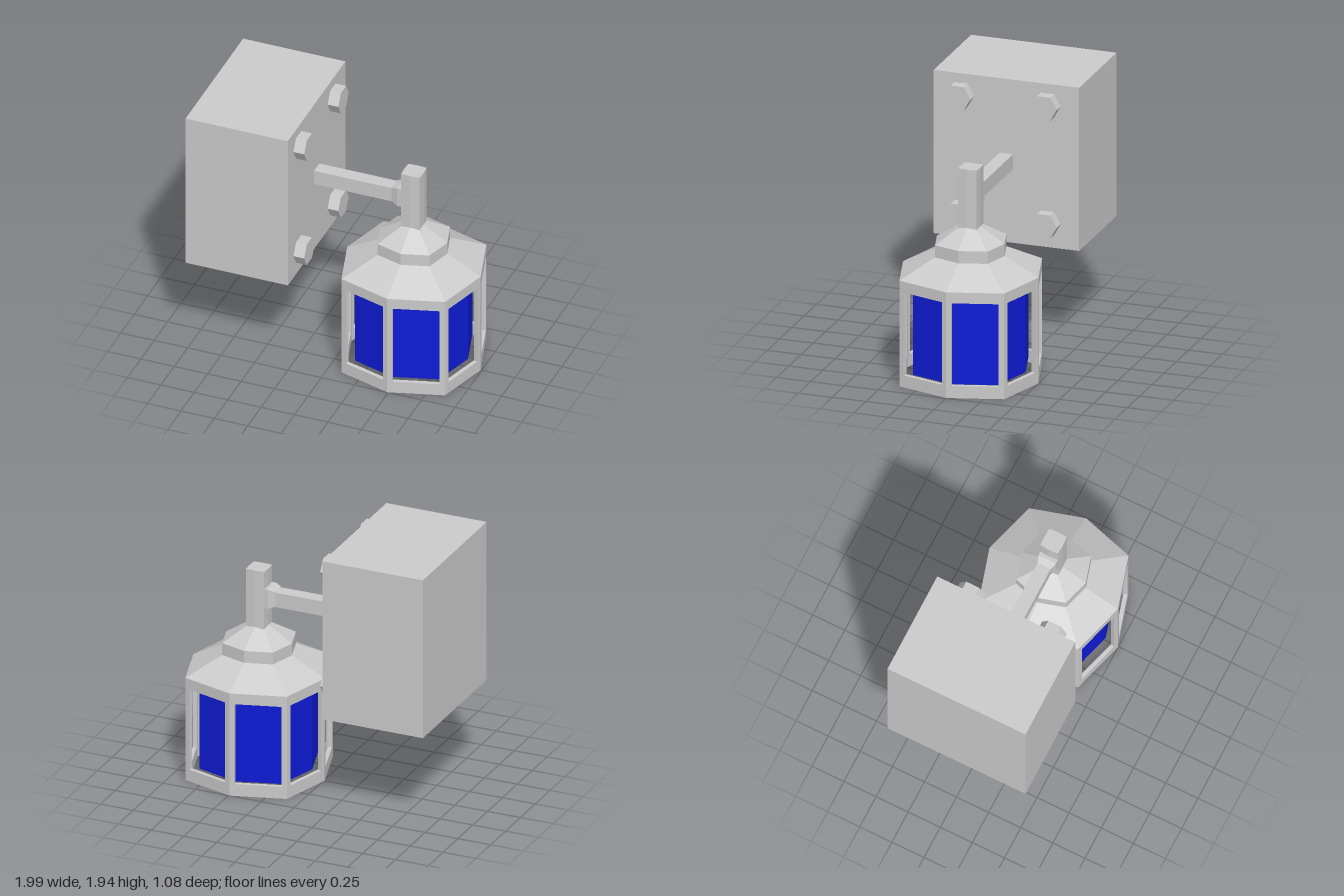
import * as THREE from 'three';

const CX = 0.493;      // lantern axis
const DIAGONAL = 1.095; // diagonal corners stand slightly further out

const mat = (color, flatShading = true) => new THREE.MeshStandardMaterial({ color, flatShading });

function add(parent, name, geometry, material) {
  const mesh = new THREE.Mesh(geometry, material);
  mesh.name = name;
  parent.add(mesh);
  return mesh;
}

// Eight-sided lathe whose diagonal corners are pushed outward
function octagonLathe(profile, diagonal = DIAGONAL) {
  const g = new THREE.LatheGeometry(profile.map(([r, y]) => new THREE.Vector2(r, y)), 8);
  const p = g.attributes.position;
  for (let i = 0; i < p.count; i++) {
    const x = p.getX(i), z = p.getZ(i);
    if (Math.min(Math.abs(x), Math.abs(z)) > 1e-4) p.setXYZ(i, x * diagonal, p.getY(i), z * diagonal);
  }
  return g;
}

// Corner of the lantern octagon
function corner(i) {
  const a = (i * Math.PI) / 4, r = 0.5 * (i % 2 ? DIAGONAL : 1);
  return new THREE.Vector3(r * Math.sin(a), 0, r * Math.cos(a));
}

// Rectangular window frame for one side of the lantern
function windowFrame(width, depth) {
  const border = 0.038;
  const s = new THREE.Shape();
  s.moveTo(0, 0).lineTo(width, 0).lineTo(width, 0.78).lineTo(0, 0.78).closePath();
  const hole = new THREE.Path();
  hole.moveTo(border, 0.09).lineTo(border, 0.7).lineTo(width - border, 0.7).lineTo(width - border, 0.09).closePath();
  s.holes.push(hole);
  return new THREE.ExtrudeGeometry(s, { depth, bevelEnabled: false });
}

export function createModel() {
  const model = new THREE.Group();
  model.name = 'wallLantern';
  const grey = mat(0xcccccc);

  // Wall block
  add(model, 'wallBlock', new THREE.BoxGeometry(0.765, 1.205, 1.075), grey).position.set(-0.6175, 1.3375, 0);

  // Hexagonal bolts
  for (const y of [0.915, 1.785]) {
    for (const z of [-0.303, 0.335]) {
      const bolt = add(model, 'bolt', new THREE.CylinderGeometry(0.098, 0.098, 0.09, 6), grey);
      bolt.rotation.z = -Math.PI / 2;
      bolt.position.set(-0.2, y, z);
    }
  }

  // Arm with a flared collar where it meets the post
  add(model, 'arm', new THREE.BoxGeometry(0.68, 0.11, 0.1), grey).position.set(0.09, 1.335, 0);
  const collar = new THREE.BoxGeometry(0.1, 0.145, 0.135, 2, 1, 1);
  const p = collar.attributes.position;
  for (let i = 0; i < p.count; i++) {
    if (p.getX(i) < -0.01) p.setXYZ(i, p.getX(i), p.getY(i) * 0.76, p.getZ(i) * 0.74);
  }
  add(model, 'armCollar', collar, grey).position.set(0.395, 1.337, 0);

  const lantern = new THREE.Group();
  lantern.name = 'lantern';
  lantern.position.x = CX;
  model.add(lantern);

  // Post and stepped roof
  add(lantern, 'post', octagonLathe([[0.073, 1.08], [0.073, 1.54], [0, 1.54]], 1.32), grey);
  add(lantern, 'roof', octagonLathe([
    [0, 0.745], [0.48, 0.745], [0.5, 0.78], [0.25, 0.91], [0.25, 1.0], [0.075, 1.11], [0, 1.11],
  ]), grey);

  // Eight window frames
  const depth = 0.03;
  for (let i = 0; i < 8; i++) {
    const a = corner(i), d = corner(i + 1).sub(a);
    const frame = add(lantern, 'windowFrame', windowFrame(d.length(), depth), grey);
    d.normalize();
    frame.rotation.y = Math.atan2(-d.z, d.x);
    frame.position.set(a.x + d.z * depth, 0, a.z - d.x * depth);
  }

  // Blue glass shade, open at the bottom
  add(lantern, 'glassShade', octagonLathe([
    [0.405, 0.07], [0.405, 0.745], [0.39, 0.745], [0.39, 0.07], [0.405, 0.07],
  ]), mat(0x0e1bd6));

  // Bulb and its socket
  add(lantern, 'bulb', new THREE.SphereGeometry(0.17, 20, 14), mat(0xb83a10, false)).position.y = 0.415;
  add(lantern, 'bulbSocket', new THREE.CylinderGeometry(0.07, 0.07, 0.22, 8), grey).position.y = 0.65;

  return model;
}
